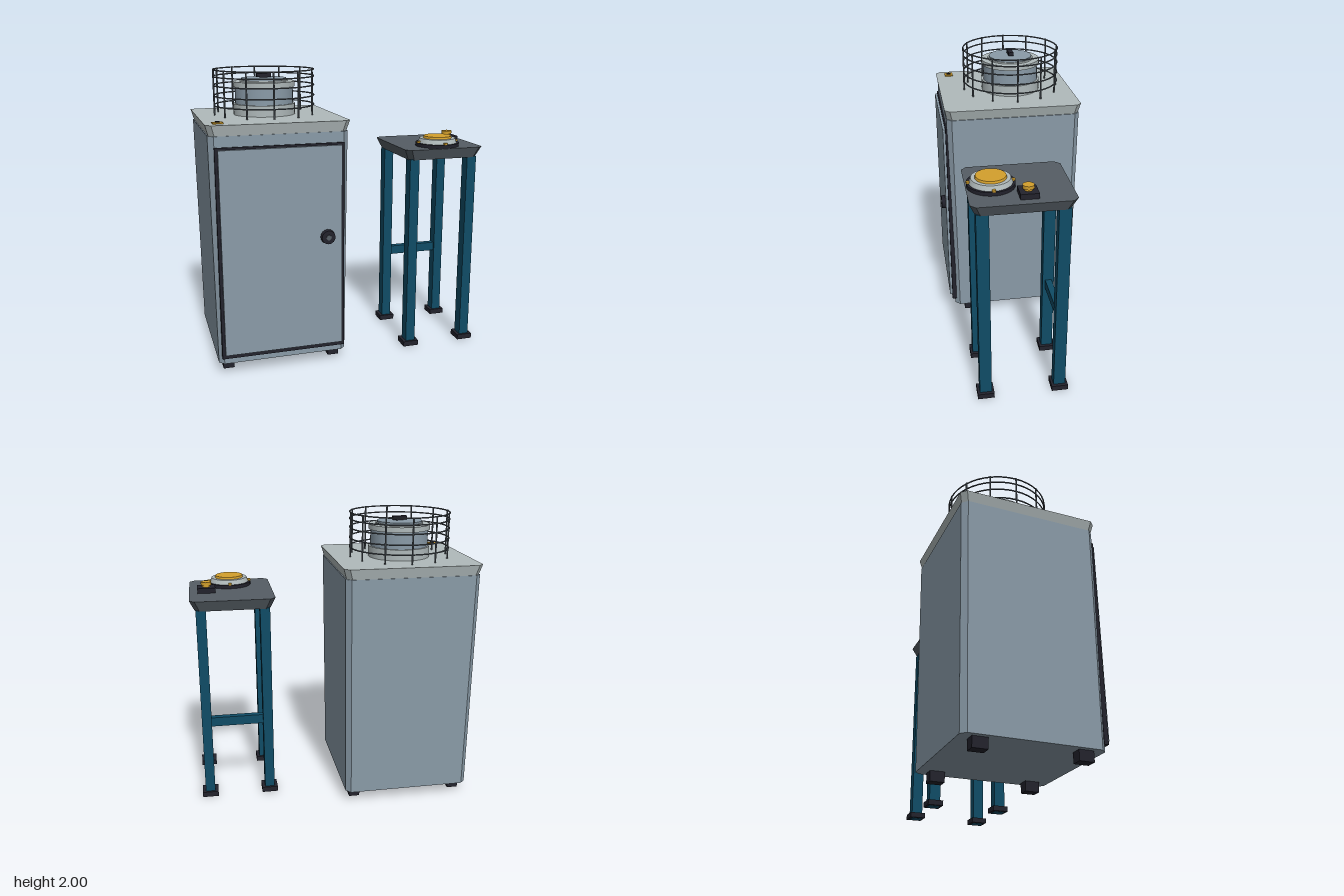
import * as THREE from 'three';

const mat = (name, color) => {
  const m = new THREE.MeshStandardMaterial({ color });
  m.name = name;
  return m;
};

export function createModel() {
  const steel = mat('blueGreySteel', 0x8a9ba8);
  const pale = mat('paleGrey', 0xb0babb);
  const slate = mat('slate', 0x555d64);
  const teal = mat('teal', 0x0f4c66);
  const black = mat('black', 0x22222c);
  const yellow = mat('amber', 0xd4a02c);
  const model = new THREE.Group();

  const group = (name, x = 0, y = 0, z = 0) => {
    const g = new THREE.Group();
    g.name = name;
    g.position.set(x, y, z);
    model.add(g);
    return g;
  };
  const add = (parent, name, geo, material, x = 0, y = 0, z = 0) => {
    const mesh = new THREE.Mesh(geo, material);
    mesh.name = name;
    mesh.position.set(x, y, z);
    parent.add(mesh);
    return mesh;
  };
  // box given by its limits on each axis
  const box = (parent, name, material, [x0, x1], [y0, y1], [z0, z1]) =>
    add(parent, name, new THREE.BoxGeometry(x1 - x0, y1 - y0, z1 - z0), material,
      (x0 + x1) / 2, (y0 + y1) / 2, (z0 + z1) / 2);
  // upright disc or cone section between two heights
  const disc = (parent, name, material, r, y0, y1, rTop = r, sides = 32) =>
    add(parent, name, new THREE.CylinderGeometry(rTop, r, y1 - y0, sides), material, 0, (y0 + y1) / 2, 0);
  // box with chamfered vertical corners, half sizes (hx, hz) at the top, (bx, bz) at the bottom
  const taperedBox = (hx, hz, bx, bz, c, y0, y1) => {
    const s = new THREE.Shape([
      [hx - c, -hz], [hx, c - hz], [hx, hz - c], [hx - c, hz],
      [c - hx, hz], [-hx, hz - c], [-hx, c - hz], [c - hx, -hz],
    ].map(([x, y]) => new THREE.Vector2(x, y)));
    const g = new THREE.ExtrudeGeometry(s, { depth: y1 - y0, bevelEnabled: false });
    g.rotateX(-Math.PI / 2).translate(0, y0, 0);
    const p = g.attributes.position;
    for (let i = 0; i < p.count; i++) {
      if (p.getY(i) < (y0 + y1) / 2) {
        p.setX(i, p.getX(i) * bx / hx);
        p.setZ(i, p.getZ(i) * bz / hz);
      }
    }
    g.computeVertexNormals();
    return g;
  };

  // Cabinet
  const cx = -0.4975;
  const cabinet = group('cabinet', cx, 0, -0.025);
  add(cabinet, 'cabinetBody', taperedBox(0.457, 0.471, 0.442, 0.459, 0.035, 0.08, 1.62), steel);
  add(cabinet, 'cabinetTop', taperedBox(0.47, 0.482, 0.444, 0.462, 0.035, 1.6, 1.69), pale);
  for (const x of [-0.37, 0.37]) for (const z of [-0.335, 0.335])
    box(cabinet, 'cabinetFoot', black, [x - 0.0375, x + 0.0375], [0.01, 0.085], [z - 0.05, z + 0.05]);

  // Door with dark surround and round knob
  const door = group('door');
  box(door, 'doorSurround', black, [-0.92, -0.075], [0.125, 1.55], [0.425, 0.456]);
  box(door, 'doorPanel', steel, [-0.9, -0.095], [0.155, 1.535], [0.45, 0.473]);
  const knob = group('doorKnob', -0.195, 0.925, 0.473);
  knob.rotation.x = Math.PI / 2;
  disc(knob, 'knobDisc', black, 0.05, 0, 0.028, 0.046, 16);
  disc(knob, 'knobCentre', slate, 0.018, 0.028, 0.034, 0.018, 12);

  // Small plate on the cabinet top
  const plate = group('topPlate');
  box(plate, 'plateBase', yellow, [-0.915, -0.845], [1.688, 1.698], [0.33, 0.39]);
  box(plate, 'plateSwitch', black, [-0.893, -0.868], [1.696, 1.704], [0.344, 0.376]);

  // Round vessel
  const vessel = group('vessel', cx, 0, -0.07);
  disc(vessel, 'vesselBase', pale, 0.213, 1.688, 1.765);
  disc(vessel, 'vesselBody', steel, 0.2, 1.765, 1.885);
  disc(vessel, 'vesselRim', pale, 0.213, 1.88, 1.915);
  disc(vessel, 'vesselNeck', pale, 0.165, 1.915, 1.925);
  disc(vessel, 'vesselLid', steel, 0.155, 1.925, 1.937);
  box(vessel, 'lidHandleStem', black, [-0.025, 0.025], [1.935, 1.945], [-0.01, 0.01]);
  box(vessel, 'lidHandle', black, [-0.05, 0.05], [1.942, 1.967], [-0.018, 0.018]);

  // Guard cage round the vessel
  const cage = group('guardCage', cx, 0, -0.07);
  const R = 0.345;
  for (const y of [1.755, 1.82, 1.89, 1.95, 1.995])
    add(cage, 'cageRing', new THREE.TorusGeometry(R, 0.005, 6, 48).rotateX(Math.PI / 2), slate, 0, y, 0);
  for (let i = 0; i < 12; i++) {
    const a = i * Math.PI / 6;
    add(cage, 'cagePost', new THREE.CylinderGeometry(0.006, 0.006, 0.312, 8), slate,
      R * Math.cos(a), 1.844, R * Math.sin(a));
  }

  // Stand
  const stand = group('stand', 0.678, 0, 0.073);
  add(stand, 'standTop', taperedBox(0.288, 0.327, 0.254, 0.295, 0.036, 1.385, 1.46), slate);
  for (const x of [-0.215, 0.215]) for (const z of [-0.252, 0.252]) {
    box(stand, 'standLeg', teal, [x - 0.034, x + 0.034], [0.003, 1.39], [z - 0.04, z + 0.04]);
    box(stand, 'standFoot', black, [x - 0.056, x + 0.056], [0.005, 0.042], [z - 0.056, z + 0.056]);
  }
  box(stand, 'rearCrossbar', teal, [-0.19, 0.19], [0.54, 0.605], [-0.275, -0.23]);

  // Large push button
  const big = group('largeButton', 0.68, 0, 0.24);
  disc(big, 'buttonBase', black, 0.153, 1.458, 1.484);
  disc(big, 'buttonCollar', pale, 0.137, 1.484, 1.515, 0.125);
  disc(big, 'buttonCap', yellow, 0.1, 1.515, 1.53, 0.096);
  for (let i = 0; i < 4; i++) {
    const a = i * Math.PI / 2;
    add(big, 'buttonStud', new THREE.BoxGeometry(0.022, 0.012, 0.022), yellow,
      0.142 * Math.cos(a), 1.49, 0.142 * Math.sin(a));
  }

  // Small push button
  const small = group('smallButton', 0.847, 0, 0.036);
  box(small, 'smallButtonBase', black, [-0.062, 0.062], [1.458, 1.495], [-0.058, 0.058]);
  disc(small, 'smallButtonStem', yellow, 0.027, 1.495, 1.51, 0.027, 12);
  disc(small, 'smallButtonCap', yellow, 0.036, 1.507, 1.53, 0.036, 12);

  return model;
}
